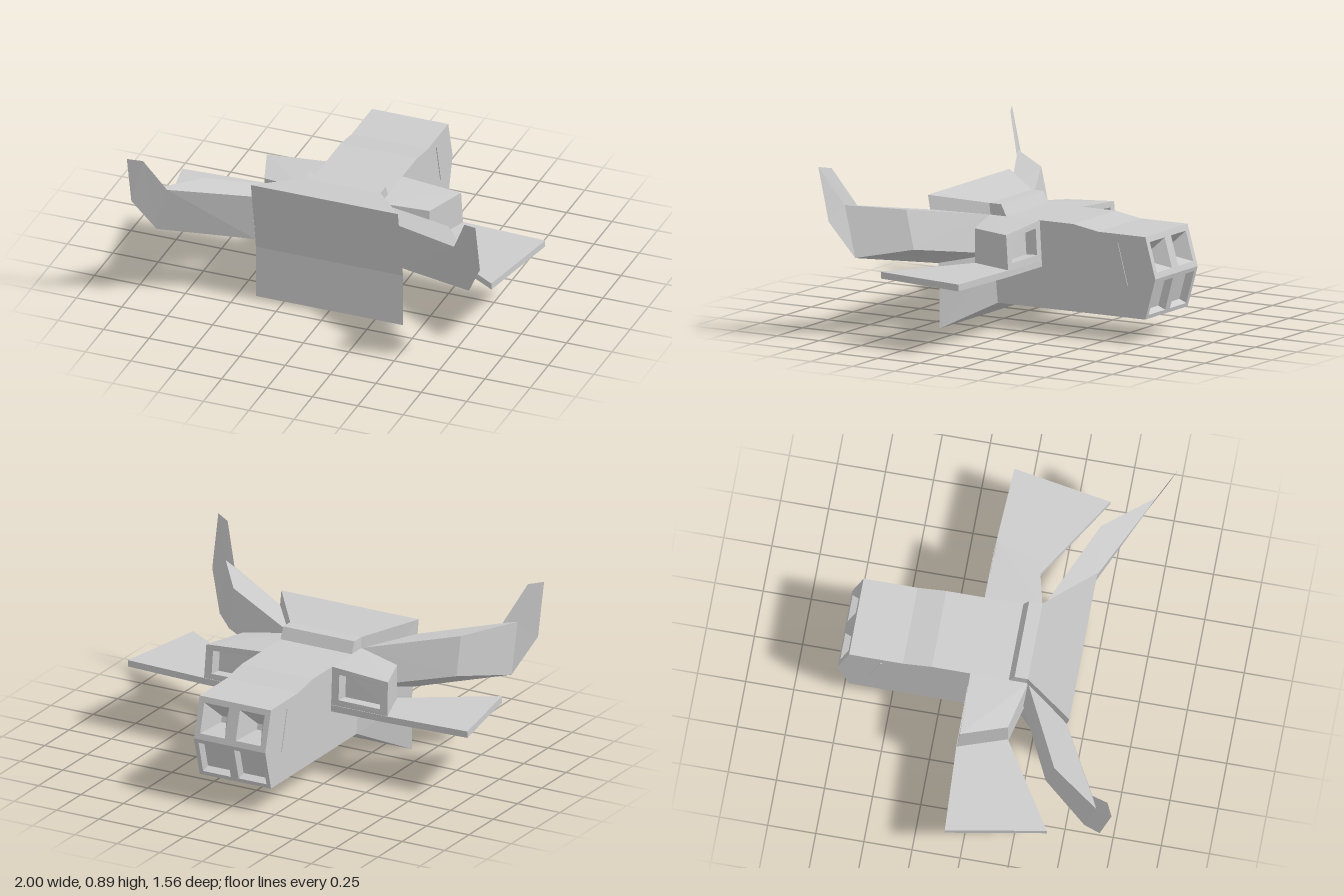
import * as THREE from 'three';

const material = new THREE.MeshStandardMaterial({ color: 0xcccccc, flatShading: true, side: THREE.DoubleSide });

// Flat polygons (counter-clockwise from outside) to a mesh; side -1 mirrors them in x
function polyMesh(name, polys, side = 1) {
  const pos = [];
  for (const poly of polys) {
    const p = side < 0 ? poly.map(([x, y, z]) => [-x, y, z]).reverse() : poly;
    // keep the same fan corner after mirroring
    if (side < 0) p.unshift(p.pop());
    for (let i = 1; i < p.length - 1; i++) pos.push(...p[0], ...p[i], ...p[i + 1]);
  }
  const g = new THREE.BufferGeometry();
  g.setAttribute('position', new THREE.Float32BufferAttribute(pos, 3));
  g.computeVertexNormals();
  const mesh = new THREE.Mesh(g, material);
  mesh.name = name;
  return mesh;
}

// Quad panel with a recess: a frame, sloping walls and a floor
function recessedPanel(a, b, c, d, mu, mv, depth, floorScale) {
  const [A, B, C, D] = [a, b, c, d].map((p) => new THREE.Vector3(...p));
  const inward = B.clone().sub(A).cross(D.clone().sub(A)).normalize().multiplyScalar(-depth);
  const at = (u, v) => A.clone().lerp(B, u).lerp(D.clone().lerp(C, u), v);
  const ring = (u, v) => [at(u, v), at(1 - u, v), at(1 - u, 1 - v), at(u, 1 - v)];
  const outer = ring(0, 0);
  const hole = ring(mu, mv);
  const mid = at(0.5, 0.5);
  const floor = hole.map((p) => p.clone().sub(mid).multiplyScalar(floorScale).add(mid).add(inward));
  const polys = [floor];
  for (let i = 0; i < 4; i++) {
    const j = (i + 1) % 4;
    polys.push([outer[i], outer[j], hole[j], hole[i]], [hole[i], hole[j], floor[j], floor[i]]);
  }
  return polys.map((poly) => poly.map((p) => p.toArray()));
}

function fuselage() {
  const w = 0.21;
  // stations: top z, top y, bottom z
  const stations = [[-0.72, 0.555, -0.72], [-0.44, 0.555, -0.44], [-0.29, 0.58, -0.29],
    [0.11, 0.58, 0.09], [0.14, 0.64, 0.12], [0.21, 0.64, 0.16]];
  const polys = [];
  for (let i = 0; i < stations.length - 1; i++) {
    const [z0, y0, b0] = stations[i];
    const [z1, y1, b1] = stations[i + 1];
    const yb = 0.125;
    polys.push(
      [[-w, y1, z1], [w, y1, z1], [w, y0, z0], [-w, y0, z0]],
      [[-w, yb, b0], [w, yb, b0], [w, yb, b1], [-w, yb, b1]],
      [[w, yb, b1], [w, yb, b0], [w, y0, z0], [w, y1, z1]],
      [[-w, yb, b0], [-w, yb, b1], [-w, y1, z1], [-w, y0, z0]],
    );
  }
  // wedge sides of the end with the recesses
  polys.push([[w, 0.125, -0.72], [w, 0.34, -0.78], [w, 0.555, -0.72]],
    [[-w, 0.555, -0.72], [-w, 0.34, -0.78], [-w, 0.125, -0.72]]);
  return polyMesh('fuselage', polys);
}

// Two deep hoppers above two shallow bays
function endPanels() {
  const group = new THREE.Group();
  group.name = 'recessedEnd';
  for (const [x0, x1] of [[0.21, 0], [0, -0.21]]) {
    group.add(
      polyMesh('hopper', recessedPanel([x0, 0.34, -0.78], [x1, 0.34, -0.78],
        [x1, 0.555, -0.72], [x0, 0.555, -0.72], 0.15, 0.14, 0.1, 0.2)),
      polyMesh('bay', recessedPanel([x0, 0.125, -0.72], [x1, 0.125, -0.72],
        [x1, 0.34, -0.78], [x0, 0.34, -0.78], 0.11, 0.1, 0.04, 0.9)),
    );
  }
  return group;
}

// Flared skirt closing the +z end
function flare() {
  const w = 0.21, f = 0.405;
  const inner = [[0.64, 0.21], [0.34, 0.18], [0.125, 0.16]];
  const outer = [[0.69, 0.46], [0.29, 0.39], [0, 0.39]];
  const at = (x, [y, z]) => [x, y, z];
  const polys = [
    [at(-f, outer[0]), at(f, outer[0]), at(w, inner[0]), at(-w, inner[0])],
    [at(-w, inner[2]), at(w, inner[2]), at(f, outer[2]), at(-f, outer[2])],
  ];
  for (let i = 0; i < 2; i++) {
    polys.push(
      [at(-f, outer[i + 1]), at(f, outer[i + 1]), at(f, outer[i]), at(-f, outer[i])],
      [at(f, outer[i + 1]), at(w, inner[i + 1]), at(w, inner[i]), at(f, outer[i])],
      [at(-w, inner[i + 1]), at(-f, outer[i + 1]), at(-f, outer[i]), at(-w, inner[i])],
    );
  }
  return polyMesh('flare', polys);
}

// Swept wing with an upturned tip
function sweptWing(side) {
  const rootTop = [0.21, 0.58, 0.21], rootLow = [0.21, 0.38, 0.17];
  const edgeTop = [0.405, 0.615, 0.447], edgeLow = [0.405, 0.34, 0.4];
  const rearTop = [0.67, 0.66, 0.43], rearLow = [0.67, 0.455, 0.385];
  const bendIn = [0.79, 0.68, 0.65], bendOut = [0.86, 0.69, 0.682], bendLow = [0.86, 0.42, 0.62];
  const tipIn = [0.885, 0.88, 0.745], tipOut = [0.96, 0.895, 0.78], tipLow = [0.96, 0.615, 0.718];
  return polyMesh('sweptWing', [
    [edgeTop, bendIn, bendOut, rearTop], [edgeTop, rearTop, rootTop],
    [rootLow, rearLow, bendLow, edgeLow],
    [edgeLow, bendLow, bendIn, edgeTop],
    [rootTop, rearTop, rearLow, rootLow],
    [rearTop, bendOut, bendLow, rearLow],
    [bendLow, tipLow, tipIn, bendIn], [tipIn, tipLow, tipOut],
    [bendOut, tipOut, tipLow, bendLow],
    [bendIn, tipIn, tipOut, bendOut],
  ], side);
}

// Flat plate wing under the pod
function plateWing(side) {
  const outline = [[0.455, 0.15], [0.91, 0.435], [1, -0.08], [0.54, -0.103], [0.21, -0.105], [0.21, 0.21]];
  const top = outline.map(([x, z]) => [x, 0.375, z]);
  const low = outline.map(([x, z]) => [x, 0.34, z]);
  const polys = [top, [low[0], ...low.slice(1).reverse()]];
  outline.forEach((_, i) => {
    const j = (i + 1) % outline.length;
    polys.push([low[i], low[j], top[j], top[i]]);
  });
  return polyMesh('plateWing', polys, side);
}

// Tapered pod with a framed opening
function pod(side) {
  const y = 0.375;
  const fo = [0.54, y, -0.1], fi = [0.21, y, -0.102], fiTop = [0.21, 0.58, -0.09], foTop = [0.535, 0.555, -0.085];
  const ro = [0.455, y, 0.15], ri = [0.21, y, 0.21], riTop = [0.21, 0.58, 0.21], roTop = [0.455, 0.555, 0.15];
  return polyMesh('pod', [
    ...recessedPanel(fo, fi, fiTop, foTop, 0.13, 0.16, 0.06, 0.95),
    [ro, fo, foTop, roTop],
    [ri, ro, roTop, riTop],
    [riTop, roTop, foTop, fiTop],
  ], side);
}

// Thin slanted strip on the fuselage side
function sideStrip(side) {
  const mesh = new THREE.Mesh(new THREE.BoxGeometry(0.008, 0.228, 0.008), material);
  mesh.name = 'sideStrip';
  mesh.position.set(side * 0.21, 0.4, -0.583);
  mesh.rotation.x = 0.26;
  return mesh;
}

export function createModel() {
  const model = new THREE.Group();
  model.name = 'craft';
  model.add(fuselage(), endPanels(), flare());
  for (const side of [1, -1]) {
    model.add(sweptWing(side), plateWing(side), pod(side), sideStrip(side));
  }
  return model;
}
